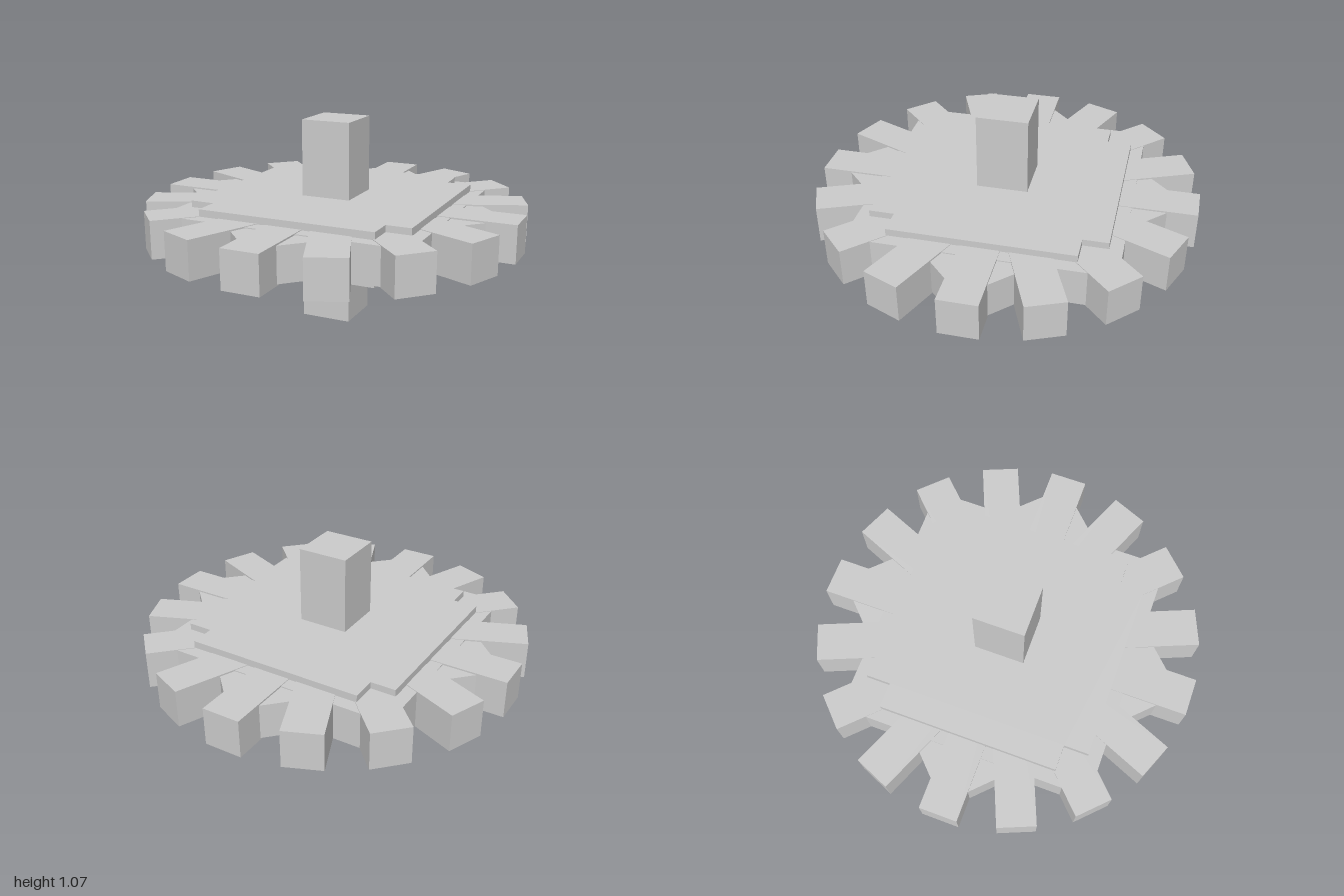
import * as THREE from 'three';

const MID = 0.535; // mid height of the wheel

export function createModel() {
  const group = new THREE.Group();
  const material = new THREE.MeshStandardMaterial({ color: 0xcccccc, flatShading: true });

  const add = (name, geometry, angle = 0) => {
    const mesh = new THREE.Mesh(geometry, material);
    mesh.name = name;
    mesh.position.y = MID;
    mesh.rotation.y = angle;
    group.add(mesh);
  };

  // square shaft through the centre
  add('shaft', new THREE.BoxGeometry(0.265, MID * 2, 0.265));

  // hub plate: a square with notched corners
  const a = 0.6, b = 0.47;
  const outline = [
    [a, -b], [a, b], [b, b], [b, a], [-b, a], [-b, b],
    [-a, b], [-a, -b], [-b, -b], [-b, -a], [b, -a], [b, -b],
  ].map(([x, y]) => new THREE.Vector2(x, y));
  const plate = new THREE.ExtrudeGeometry(new THREE.Shape(outline), { depth: 0.267, bevelEnabled: false });
  plate.translate(0, 0, -0.1335).rotateX(-Math.PI / 2);
  add('hubPlate', plate);

  // two crossed squares form the rim behind the teeth
  add('rimSquare', new THREE.BoxGeometry(1.334, 0.192, 1.334));
  add('rimDiamond', new THREE.BoxGeometry(1.334, 0.182, 1.334), Math.PI / 4);

  // eight bars through the centre give sixteen teeth
  for (let i = 0; i < 8; i++) {
    add('toothBar', new THREE.BoxGeometry(2, 0.198, 0.198), (i * Math.PI) / 8);
  }
  return group;
}
